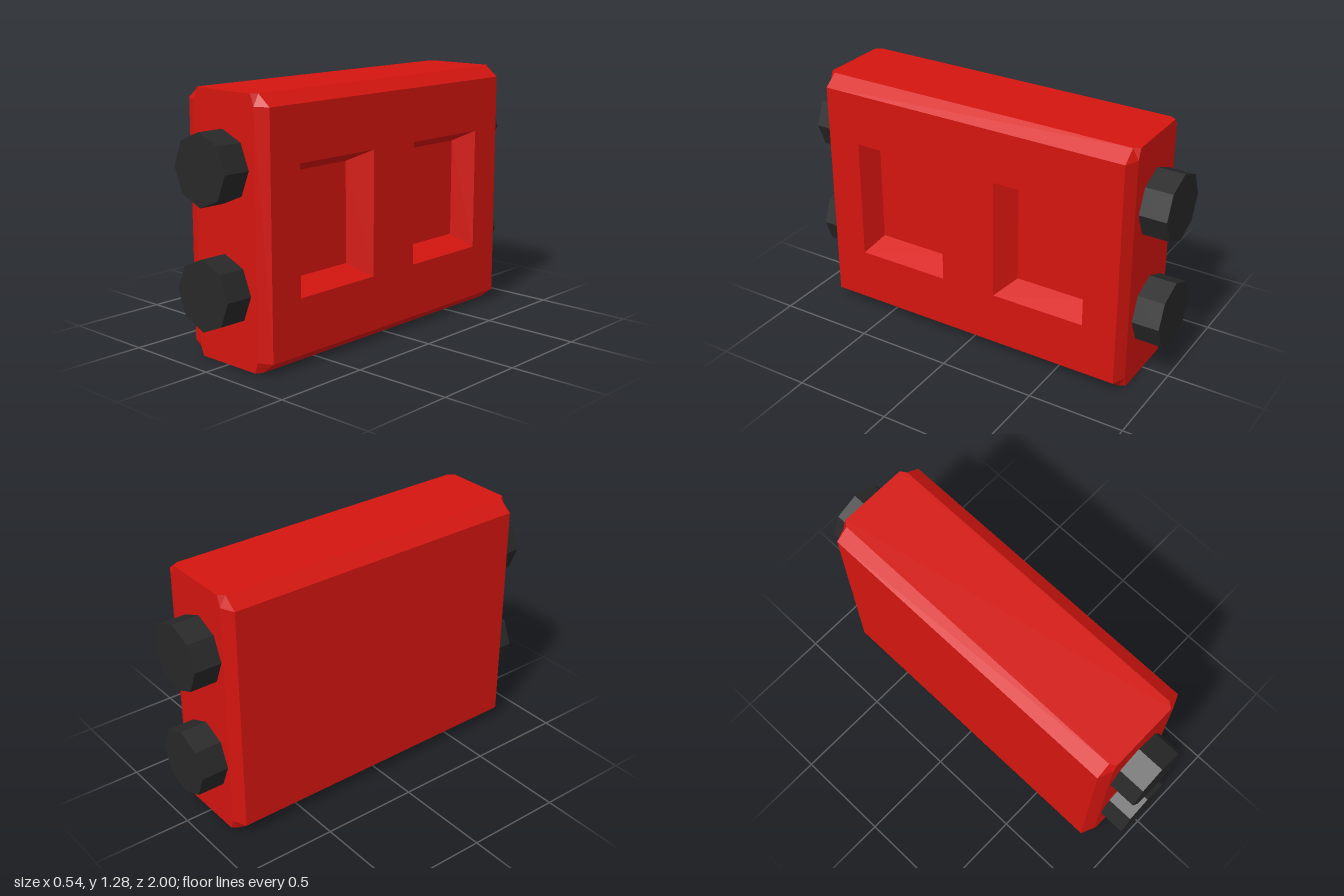
import * as THREE from 'three';

const red = new THREE.MeshStandardMaterial({ color: 0xd4150f, flatShading: true });
const dark = new THREE.MeshStandardMaterial({ color: 0x282828, flatShading: true });

const H = 1.285, HALF_X = 0.27, DEPTH = 0.12;

// Joins rings of [x, y, z] points, listed counter-clockwise as seen from +x
function loft(rings, { capFirst = false, capLast = false } = {}) {
  const pos = [];
  const tri = (...pts) => {
    const [a, b, c] = pts.map((p) => new THREE.Vector3(...p));
    if (b.sub(a).cross(c.sub(a)).length() > 1e-7) pos.push(...pts.flat());
  };
  const n = rings[0].length;
  for (let j = 0; j < rings.length - 1; j++) {
    for (let i = 0; i < n; i++) {
      const k = (i + 1) % n;
      tri(rings[j][i], rings[j][k], rings[j + 1][k]);
      tri(rings[j][i], rings[j + 1][k], rings[j + 1][i]);
    }
  }
  const first = rings[0], last = rings[rings.length - 1];
  for (let i = 1; i < n - 1; i++) {
    if (capFirst) tri(first[0], first[i + 1], first[i]);
    if (capLast) tri(last[0], last[i], last[i + 1]);
  }
  const g = new THREE.BufferGeometry();
  g.setAttribute('position', new THREE.Float32BufferAttribute(pos, 3));
  g.computeVertexNormals();
  return g;
}

// Octagonal slice of the body: z1/m1 is the front/back edge, z2/m2 the top/bottom edge
function slice(x, z1, m1, z2, m2) {
  return [[-z1, m1], [-z1, H - m1], [-z2, H - m2], [z2, H - m2],
    [z1, H - m1], [z1, m1], [z2, m2], [-z2, m2]].map(([z, y]) => [x, y, z]);
}

function rect(x, z0, z1, y0, y1) {
  return [[x, y0, z0], [x, y1, z0], [x, y1, z1], [x, y0, z1]];
}

function add(group, name, geometry, material) {
  const mesh = new THREE.Mesh(geometry, material);
  mesh.name = name;
  group.add(mesh);
  return mesh;
}

export function createModel() {
  const model = new THREE.Group();
  model.name = 'block';

  // Chamfered body, open on +x where the recessed panel sits
  const end = (s) => slice(s * HALF_X, 0.83, 0.055, 0.83, 0.055);
  const bevel = (s) => slice(s * 0.2, 0.86, 0.055, 0.83, 0);
  const full = (s) => slice(s * 0.18, 0.86, 0, 0.86, 0);
  add(model, 'body', loft([end(-1), bevel(-1), full(-1), full(1), bevel(1), end(1)],
    { capFirst: true }), red);

  // Side panel with two window openings
  const panel = new THREE.Shape([[-0.83, 0.055], [0.83, 0.055], [0.83, H - 0.055], [-0.83, H - 0.055]]
    .map((p) => new THREE.Vector2(...p)));
  for (const s of [-1, 1]) {
    panel.holes.push(new THREE.Path([[0.15, 0.33], [0.65, 0.33], [0.65, 0.96], [0.15, 0.96]]
      .map(([u, v]) => new THREE.Vector2(s * u, v))));

    // Tapered recess behind each opening
    const span = (a, b) => (s > 0 ? [a, b] : [-b, -a]);
    add(model, s > 0 ? 'frontRecess' : 'backRecess', loft([
      rect(HALF_X, ...span(0.15, 0.65), 0.33, 0.96),
      rect(HALF_X - DEPTH, ...span(0.22, 0.605), 0.39, 0.9),
    ], { capLast: true }), red);
  }
  const panelGeometry = new THREE.ShapeGeometry(panel);
  panelGeometry.rotateY(Math.PI / 2).translate(HALF_X, 0, 0);
  add(model, 'sidePanel', panelGeometry, red);

  // Octagonal studs on the front and back
  for (const s of [-1, 1]) {
    for (const y of [0.36, 0.94]) {
      const name = (s > 0 ? 'front' : 'back') + (y > 0.5 ? 'Upper' : 'Lower') + 'Stud';
      const stud = add(model, name, new THREE.CylinderGeometry(0.172, 0.172, 0.16, 8), dark);
      stud.rotation.x = Math.PI / 2;
      stud.position.set(-0.01, y, s * 0.92);
    }
  }
  return model;
}
